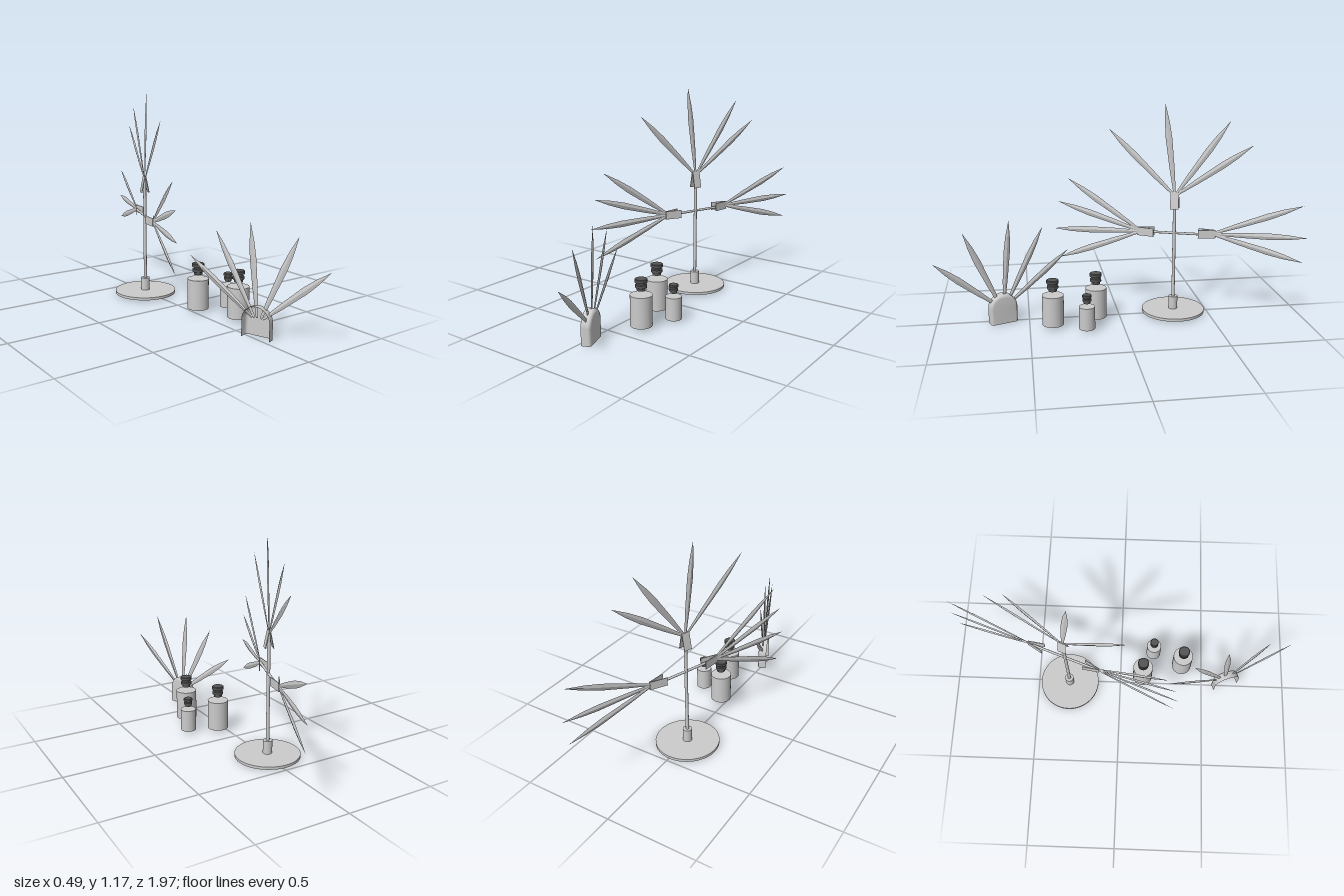
import * as THREE from 'three';

const grey = new THREE.MeshStandardMaterial({ color: 0xcccccc });
const facet = new THREE.MeshStandardMaterial({ color: 0xcccccc, flatShading: true });
const sheet = new THREE.MeshStandardMaterial({ color: 0xcccccc, side: THREE.DoubleSide });
const dark = new THREE.MeshStandardMaterial({ color: 0x555555, flatShading: true });

function add(parent, name, geometry, material, x = 0, y = 0, z = 0) {
  const mesh = new THREE.Mesh(geometry, material);
  mesh.name = name;
  mesh.position.set(x, y, z);
  parent.add(mesh);
  return mesh;
}

function cylinder(parent, name, r, y0, y1, segments = 32) {
  return add(parent, name, new THREE.CylinderGeometry(r, r, y1 - y0, segments), grey, 0, (y0 + y1) / 2, 0);
}

// Slim pointed leaf with a flat diamond section, from root to tip in the local xy plane
function leaf(parent, [x0, y0], [x1, y1]) {
  const length = Math.hypot(x1 - x0, y1 - y0);
  const outline = [[0, 0], [0.006, 0], [0.014, 0.3], [0.018, 0.62], [0.013, 0.8], [0, 1]]
    .map(([r, t]) => new THREE.Vector2(r, t * length));
  const mesh = add(parent, 'leaf', new THREE.LatheGeometry(outline, 4).scale(1, 1, 0.3), facet, x0, y0, 0);
  mesh.rotation.z = Math.atan2(x0 - x1, y1 - y0);
}

// Clip of two splayed plates that meet at the leaf roots
function clip(parent, x, y, turn) {
  const group = new THREE.Group();
  group.name = 'clip';
  for (const side of [-1, 1]) {
    const plate = add(group, 'clipPlate', new THREE.BoxGeometry(0.046, 0.095, 0.004), facet, 0, -0.045, side * 0.012);
    plate.rotation.x = -side * 0.2;
  }
  group.position.set(x, y, 0);
  group.rotation.z = turn;
  parent.add(group);
}

function createStand() {
  const stand = new THREE.Group();
  stand.name = 'stand';
  cylinder(stand, 'base', 0.175, 0.005, 0.02, 48);
  cylinder(stand, 'collar', 0.025, 0.02, 0.092);
  cylinder(stand, 'pole', 0.009, 0.02, 0.67, 16);
  const bar = add(stand, 'crossbar', new THREE.CylinderGeometry(0.007, 0.007, 0.4, 12), grey, 0, 0.46, 0);
  bar.rotation.z = Math.PI / 2;

  const fans = [
    { root: [0, 0.69], turn: 0, tips: [[-0.37, 1.03], [-0.06, 1.175], [0.29, 1.085], [0.415, 0.96]] },
    { root: [-0.205, 0.46], turn: Math.PI / 2, tips: [[-0.606, 0.745], [-0.665, 0.61], [-0.69, 0.45], [-0.66, 0.28]] },
    { root: [0.225, 0.465], turn: -Math.PI / 2, tips: [[0.69, 0.645], [0.72, 0.468], [0.7, 0.33]] },
  ];
  for (const { root, turn, tips } of fans) {
    clip(stand, root[0], root[1], turn);
    // Roots sink slightly into the clip
    const start = [root[0] + Math.sin(turn) * 0.02, root[1] - Math.cos(turn) * 0.02];
    for (const tip of tips) leaf(stand, start, tip);
  }
  stand.position.set(-0.01, 0, -0.31);
  stand.rotation.y = THREE.MathUtils.degToRad(70);
  return stand;
}

// Arched holder: one rounded face and a rim, open at the back and below
function holderGeometry() {
  const rows = [[-0.025, 0], [-0.025, 0.8], [-0.021, 0.93], [-0.012, 1], [0.025, 1]];
  const steps = 32;
  const geometry = new THREE.PlaneGeometry(1, 1, steps, rows.length - 1);
  const pos = geometry.attributes.position;
  for (let i = 0; i < pos.count; i++) {
    const [z, scale] = rows[Math.floor(i / (steps + 1))];
    const k = i % (steps + 1);
    const angle = Math.PI * (1 - (k - 1) / (steps - 2));
    const foot = k === 0 || k === steps;
    const x = foot ? (k ? 0.076 : -0.076) : 0.076 * Math.cos(angle);
    const y = foot ? 0 : 0.09 + 0.073 * Math.sin(angle) * scale - (1 - scale) * 0.01;
    pos.setXYZ(i, x * scale, y, z);
  }
  geometry.computeVertexNormals();
  return geometry;
}

function createPlant() {
  const plant = new THREE.Group();
  plant.name = 'plant';
  add(plant, 'holder', holderGeometry(), sheet);
  for (const tip of [[-0.39, 0.36], [-0.24, 0.51], [-0.048, 0.57], [0.207, 0.53], [0.37, 0.385]]) {
    leaf(plant, [tip[0] * 0.08, 0.1], tip);
  }
  plant.position.set(0.018, 0, 0.64);
  plant.rotation.y = THREE.MathUtils.degToRad(-70);
  return plant;
}

// Bottle with a stepped stopper held just above the body
function createBottle(x, z, radius, bottom, top, capBottom, capTop, capRadius) {
  const bottle = new THREE.Group();
  bottle.name = 'bottle';
  cylinder(bottle, 'bottleBody', radius, bottom, top);
  const h = capTop - capBottom;
  const profile = [[0, 0], [0.7, 0], [0.7, 0.2], [0.92, 0.25], [0.92, 0.5], [0.7, 0.55],
    [0.7, 0.68], [1, 0.72], [1, 0.95], [0.9, 1], [0, 1]]
    .map(([r, t]) => new THREE.Vector2(r * capRadius, capBottom + t * h));
  add(bottle, 'stopper', new THREE.LatheGeometry(profile, 24), dark);
  bottle.position.set(x, 0, z);
  return bottle;
}

export function createModel() {
  const model = new THREE.Group();
  model.name = 'leafStandAndBottles';
  model.add(
    createStand(),
    createPlant(),
    createBottle(0.04, 0.135, 0.058, 0.015, 0.18, 0.203, 0.265, 0.033),
    createBottle(0.12, 0.375, 0.058, 0.015, 0.18, 0.203, 0.265, 0.033),
    createBottle(0.197, 0.2, 0.043, 0.012, 0.135, 0.153, 0.2, 0.025),
  );
  return model;
}
